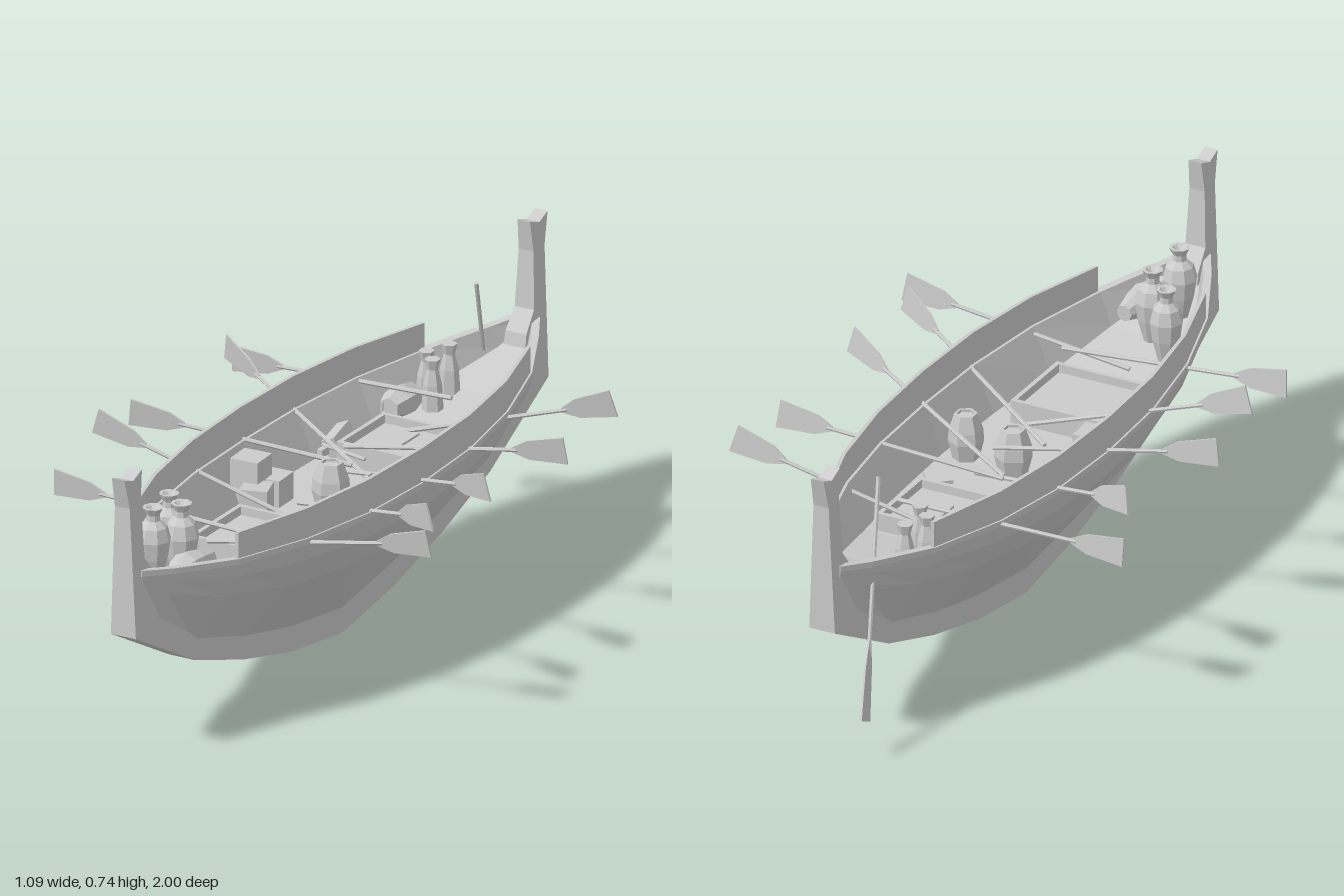
import * as THREE from 'three';

const mat = new THREE.MeshStandardMaterial({ color: 0xcccccc, flatShading: true });
const V = (x, y, z) => new THREE.Vector3(x, y, z);

// Half-length stations: z, rim half-width, rim y, bottom y, floor y
const stations = [
  [0, 0.265, 0.445, 0.065, 0.32],
  [0.24, 0.256, 0.448, 0.10, 0.325],
  [0.47, 0.222, 0.455, 0.155, 0.34],
  [0.69, 0.158, 0.465, 0.225, 0.38],
  [0.86, 0.076, 0.483, 0.33, 0.43],
  [0.94, 0.032, 0.495, 0.44, 0.47],
];
const mirrorZ = (list) => [...list.slice(1).reverse().map(([z, ...r]) => [-z, ...r]), ...list];

function mesh(name, geo, parent, x = 0, y = 0, z = 0) {
  const m = new THREE.Mesh(geo, mat);
  m.name = name;
  m.position.set(x, y, z);
  parent.add(m);
  return m;
}

// Skin closed cross-sections (arrays of Vector3) ordered along +z, with end caps
function loft(sections) {
  const n = sections[0].length, pos = sections.flat().flatMap((p) => p.toArray()), idx = [];
  for (let i = 0; i < sections.length - 1; i++) {
    for (let j = 0; j < n; j++) {
      const a = i * n + j, b = i * n + (j + 1) % n;
      idx.push(a, a + n, b, b, a + n, b + n);
    }
  }
  const last = (sections.length - 1) * n;
  for (let j = 1; j < n - 1; j++) idx.push(0, j, j + 1, last, last + j + 1, last + j);
  const g = new THREE.BufferGeometry();
  g.setAttribute('position', new THREE.Float32BufferAttribute(pos, 3));
  g.setIndex(idx);
  g.computeVertexNormals();
  return g;
}

// Hull shell with inner walls and floor
function hullSection([z, w, rim, low, floor]) {
  const h = rim - low, b = Math.min(0.03, w * 0.8);
  const at = (fw, fy) => [Math.max(b, w * fw), low + h * fy];
  const outer = [[b, low], at(0.74, 0.55), at(0.93, 0.79), [w, rim - 0.015], [w, rim]];
  // Floor edge follows the outer side at floor height
  let fx = w;
  for (let k = 0; k < 4; k++) {
    const [p, q] = [outer[k], outer[k + 1]];
    if (floor >= p[1] && floor <= q[1]) fx = p[0] + (q[0] - p[0]) * (floor - p[1]) / (q[1] - p[1]);
  }
  const side = [...outer, [Math.max(w - 0.022, 0.01), rim], [Math.max(fx - 0.022, 0.008), floor]];
  return [...side.map(([x, y]) => V(-x, y, z)), ...side.reverse().map(([x, y]) => V(x, y, z))];
}

// Keel running up into a notched post at each end
function keelGeometry() {
  const outer = [[0, 0.005], [0.24, 0.04], [0.47, 0.10], [0.70, 0.18], [0.975, 0.33], [0.98, 0.668], [1, 0.748], [0.96, 0.733]];
  const inner = [[0.917, 0.748], [0.928, 0.668], [0.92, 0.52], [0.88, 0.47], [0.86, 0.37], [0.69, 0.25], [0.47, 0.18], [0.24, 0.12], [0, 0.085]];
  const half = [...outer, ...inner];
  const loop = [...half, ...half.slice(1, -1).reverse().map(([z, y]) => [-z, y])];
  const g = new THREE.ExtrudeGeometry(new THREE.Shape(loop.map(([z, y]) => new THREE.Vector2(z, y))), { depth: 0.07, bevelEnabled: false });
  g.translate(0, 0, -0.035).rotateY(-Math.PI / 2);
  const p = g.attributes.position;
  for (let i = 0; i < p.count; i++) {
    const t = Math.max(0, (p.getY(i) - 0.33) / 0.418);
    p.setX(i, p.getX(i) * (1 - 0.5 * t));
  }
  g.computeVertexNormals();
  return g;
}

// Oar from handle end to blade tip; the blade lies in the plane of its shaft and `up`
function oar(name, from, tip, up, parent, blade = 0.14, wide = 0.036) {
  const dir = tip.clone().sub(from), len = dir.length();
  dir.normalize();
  const n = dir.clone().cross(up).normalize();
  const g = new THREE.Group();
  g.name = name;
  g.quaternion.setFromRotationMatrix(new THREE.Matrix4().makeBasis(dir, n.clone().cross(dir), n));
  g.position.copy(from);
  const shaft = len - blade * 0.9;
  mesh('shaft', new THREE.CylinderGeometry(0.005, 0.006, shaft, 6).rotateZ(-Math.PI / 2), g, shaft / 2);
  const s = new THREE.Shape([[0, -0.006], [blade * 0.3, -wide * 0.7], [blade, -wide], [blade, wide], [blade * 0.3, wide * 0.7], [0, 0.006]]
    .map(([x, y]) => new THREE.Vector2(x, y)));
  mesh('blade', new THREE.ExtrudeGeometry(s, { depth: 0.005, bevelEnabled: false }), g, len - blade, 0, -0.0025);
  parent.add(g);
}

const lathe = (pts, sides) => new THREE.LatheGeometry(pts.map(([x, y]) => new THREE.Vector2(x, y)), sides);
const jarGeo = (r, h) => lathe([[0, 0], [r * 0.5, 0], [r * 0.85, h * 0.3], [r, h * 0.55], [r * 0.8, h * 0.73], [r * 0.4, h * 0.82], [r * 0.38, h * 0.9], [r * 0.6, h], [r * 0.4, h], [0, h * 0.9]], 8);
const bottleGeo = (r, h) => lathe([[0, 0], [r, 0], [r * 0.85, h * 0.5], [r * 0.5, h * 0.8], [r * 0.75, h], [0, h]], 6);
const barrelGeo = (r, h) => lathe([[0, 0], [r * 0.75, 0], [r, h * 0.4], [r * 0.95, h * 0.65], [r * 0.65, h], [r * 0.5, h], [r * 0.5, h * 0.94], [0, h * 0.94]], 6);

export function createModel() {
  const boat = new THREE.Group();
  boat.name = 'rowingBoat';
  const all = mirrorZ(stations);
  mesh('hull', loft(all.map(hullSection)), boat);
  mesh('keelAndPosts', keelGeometry(), boat);

  // Raised boards along both rims
  for (const s of [-1, 1]) {
    const sections = all.filter(([z]) => Math.abs(z) < 0.7).map(([z, w, rim]) => {
      const a = s * (w - 0.010) - 0.005, b = a + 0.01;
      return [V(a, rim - 0.03, z), V(a, 0.532, z), V(b, 0.532, z), V(b, rim - 0.03, z)];
    });
    mesh(s > 0 ? 'leftSideBoard' : 'rightSideBoard', loft(sections), boat);
  }

  // Rowing oars: handle x, z, then tip x, y, z
  const oars = [
    [0.055, -0.484, -0.545, 0.44, -0.457], [0.04, -0.12, -0.495, 0.52, -0.345], [0.02, -0.07, -0.53, 0.48, 0.05],
    [0.075, 0.19, -0.51, 0.53, 0.245], [0.115, 0.457, -0.485, 0.46, 0.483],
    [-0.07, -0.43, 0.495, 0.52, -0.505], [-0.07, -0.186, 0.5, 0.48, -0.27], [-0.035, -0.117, 0.5, 0.515, 0.10],
    [-0.035, 0.09, 0.485, 0.52, 0.345], [-0.055, 0.484, 0.537, 0.495, 0.44],
  ];
  for (const [hx, hz, tx, ty, tz] of oars) {
    const slope = (ty - 0.445) / (Math.abs(tx) - 0.24);
    const hy = 0.445 - slope * (0.24 - Math.sign(tx) * hx);
    oar('oar', V(hx, hy, hz), V(tx, ty, tz), V(0, 1, 0.12), boat);
  }
  oar('steeringOar', V(-0.025, 0.645, -0.735), V(-0.115, 0.11, -0.97), V(0.1, 0, 1), boat, 0.19, 0.026);

  // Framed hatches on the floor
  for (const [z, d] of [[-0.35, 0.22], [0.338, 0.235]]) {
    const hatch = new THREE.Group();
    hatch.name = 'hatch';
    hatch.position.set(0.003, 0.35, z);
    mesh('panel', new THREE.BoxGeometry(0.24, 0.05, d - 0.01), hatch, 0, -0.012);
    for (const s of [-1, 1]) {
      mesh('frameSide', new THREE.BoxGeometry(0.012, 0.07, d), hatch, s * 0.12);
      mesh('frameEnd', new THREE.BoxGeometry(0.25, 0.07, 0.012), hatch, 0, 0, s * (d / 2 - 0.006));
    }
    boat.add(hatch);
  }
  mesh('rod', new THREE.BoxGeometry(0.006, 0.006, 0.11), boat, 0, 0.368, -0.365);

  // Jars in the bow
  for (const [x, y, z, r, h] of [[-0.085, 0.37, 0.615, 0.042, 0.19], [-0.015, 0.38, 0.675, 0.044, 0.19], [-0.035, 0.405, 0.775, 0.044, 0.185]])
    mesh('jar', jarGeo(r, h), boat, x, y, z);
  mesh('lyingJar', jarGeo(0.042, 0.18), boat, 0.055, 0.44, 0.66).rotation.set(Math.PI / 2, 0, 0.08);

  // Bottles and a lying cask in the stern
  for (const [x, z] of [[-0.065, -0.675], [-0.09, -0.61], [-0.05, -0.57]])
    mesh('bottle', bottleGeo(0.027, 0.13), boat, x, 0.37, z);
  mesh('lyingCask', barrelGeo(0.042, 0.11), boat, -0.11, 0.395, -0.575).rotation.x = Math.PI / 2;

  // Casks and crates amidships
  mesh('cask', barrelGeo(0.047, 0.12), boat, 0, 0.32, -0.005);
  mesh('cask', barrelGeo(0.044, 0.12), boat, 0.14, 0.32, 0.015);
  const crates = [[-0.18, 0.41, 0.068, 0.075, 0.05], [-0.145, 0.355, 0.025, 0.075, 0.05], [-0.14, 0.355, 0.11, 0.07, 0.3], [-0.185, 0.35, 0.068, 0.06, 0]];
  for (const [x, y, z, size, turn] of crates)
    mesh('crate', new THREE.BoxGeometry(size, 0.07, size), boat, x, y, z).rotation.y = turn;
  mesh('plate', new THREE.BoxGeometry(0.06, 0.012, 0.06), boat, 0.14, 0.326, -0.125).rotation.y = 0.75;

  // Leaning board and hooked tool by the stern hatch
  mesh('leaningBoard', new THREE.BoxGeometry(0.035, 0.07, 0.1), boat, -0.14, 0.36, -0.29).rotation.set(0.1, 0.15, 0.4);
  mesh('toolHandle', new THREE.CylinderGeometry(0.005, 0.005, 0.12, 6), boat, -0.1, 0.365, -0.235).rotation.z = 1.45;
  mesh('toolHead', new THREE.BoxGeometry(0.015, 0.02, 0.06), boat, -0.15, 0.36, -0.235);
  return boat;
}
